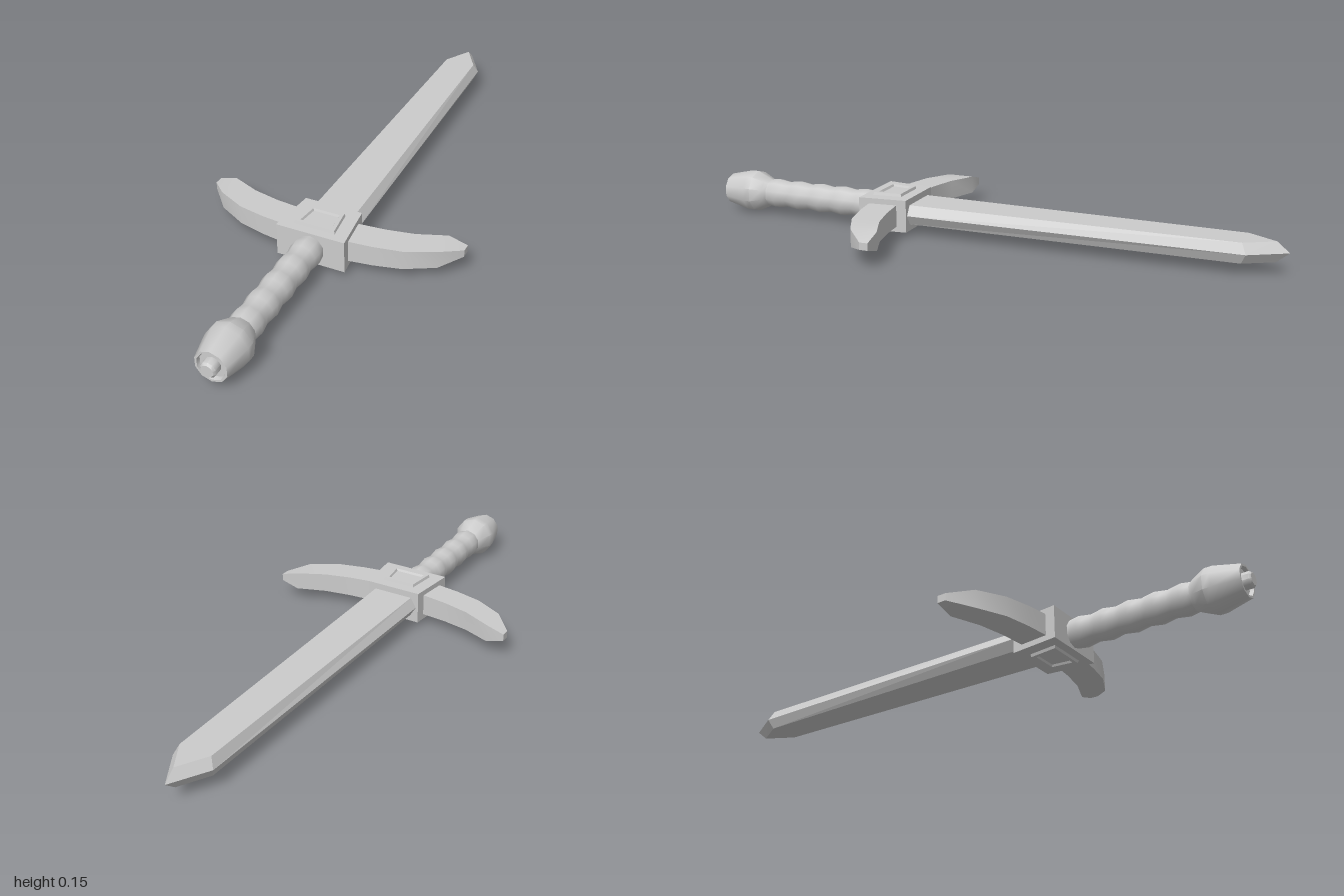
import * as THREE from 'three';
import { toCreasedNormals } from 'three/addons/utils/BufferGeometryUtils.js';

const material = new THREE.MeshStandardMaterial({ color: 0xcccccc });

// Skin a list of equal-sized rings of [x, y, z] points and cap both ends.
function loft(rings, crease = 0.3) {
  const pos = [];
  const tri = (a, b, c) => pos.push(...a, ...b, ...c);
  const n = rings[0].length;
  for (let k = 0; k < rings.length - 1; k++) {
    const lo = rings[k], hi = rings[k + 1];
    for (let i = 0; i < n; i++) {
      const j = (i + 1) % n;
      tri(lo[i], lo[j], hi[j]);
      tri(lo[i], hi[j], hi[i]);
    }
  }
  const first = rings[0], last = rings[rings.length - 1];
  for (let i = 1; i < n - 1; i++) {
    tri(first[0], first[i + 1], first[i]);
    tri(last[0], last[i], last[i + 1]);
  }
  const geo = new THREE.BufferGeometry();
  geo.setAttribute('position', new THREE.Float32BufferAttribute(pos, 3));
  return toCreasedNormals(geo, crease);
}

// Horizontal trapezoid ring: half-width wb at the back, wf at the front.
const trapezoid = (y, zBack, wb, zFront, wf) =>
  [[-wf, y, zFront], [wf, y, zFront], [wb, y, zBack], [-wb, y, zBack]];

// Horizontal blade outline: base half-width, shoulder half-width and point.
const bladeRing = (y, wBase, wTip, zShoulder, zTip) => [
  [-wBase, y, 0.26], [wBase, y, 0.26],
  [wTip, y, zShoulder], [0, y, zTip], [-wTip, y, zShoulder],
];

// Turned part along z from [radius, z] points.
function turned(profile, crease) {
  const points = profile.map(([r, z]) => new THREE.Vector2(r, z));
  const geo = new THREE.LatheGeometry(points, 10).rotateX(Math.PI / 2);
  return toCreasedNormals(geo, crease);
}

export function createModel() {
  const model = new THREE.Group();
  model.name = 'sword';
  const sword = new THREE.Group();
  sword.name = 'swordParts';
  sword.position.y = 0.076;
  model.add(sword);
  const add = (name, geo) => {
    const mesh = new THREE.Mesh(geo, material);
    mesh.name = name;
    sword.add(mesh);
    return mesh;
  };

  // Blade: flat faces bevelled to a sharp edge
  add('blade', loft([
    bladeRing(-0.033, 0.07, 0.055, -0.865, -0.96),
    bladeRing(0, 0.09, 0.07, -0.88, -1),
    bladeRing(0.033, 0.07, 0.055, -0.865, -0.96),
  ], 0.1));

  // Guard block, wider towards the grip
  add('guardBlock', loft([-0.055, 0.055].map(y => trapezoid(y, 0.235, 0.098, 0.4, 0.116))));

  // Framed, recessed panel on the top and bottom of the block
  const panel = loft([
    trapezoid(0.05, 0.27, 0.06, 0.372, 0.072),
    trapezoid(0.064, 0.274, 0.056, 0.368, 0.067),
    trapezoid(0.064, 0.286, 0.045, 0.357, 0.054),
    trapezoid(0.057, 0.289, 0.042, 0.353, 0.05),
  ]);
  add('panelTop', panel);
  add('panelBottom', panel).rotation.z = Math.PI;

  // Curved guard arms: [x, zBack, zFront, half height]
  const arm = loft([
    [0.09, 0.27, 0.368, 0.037],
    [0.19, 0.258, 0.356, 0.035],
    [0.28, 0.238, 0.337, 0.033],
    [0.375, 0.198, 0.29, 0.03],
    [0.437, 0.197, 0.226, 0.012],
  ].map(([x, a, b, h]) => [[x, -h, a], [x, h, a], [x, h, b], [x, -h, b]]), 0.6);
  add('guardArmLeft', arm);
  add('guardArmRight', arm).rotation.z = Math.PI;

  // Grip with five soft swellings
  const grip = [];
  for (let i = 0; i <= 20; i++) {
    grip.push([0.0485 - 0.0035 * Math.cos(i * Math.PI / 2), 0.39 + i * 0.022]);
  }
  add('grip', turned(grip, 1.2));

  // Pommel with a recessed end and a small nub
  add('pommel', turned([
    [0.046, 0.815], [0.054, 0.83], [0.073, 0.87], [0.073, 0.895], [0.053, 0.98],
    [0.046, 0.98], [0.043, 0.968], [0.026, 0.968], [0.026, 0.993], [0.02, 1], [0, 1],
  ], 0.7));

  return model;
}
